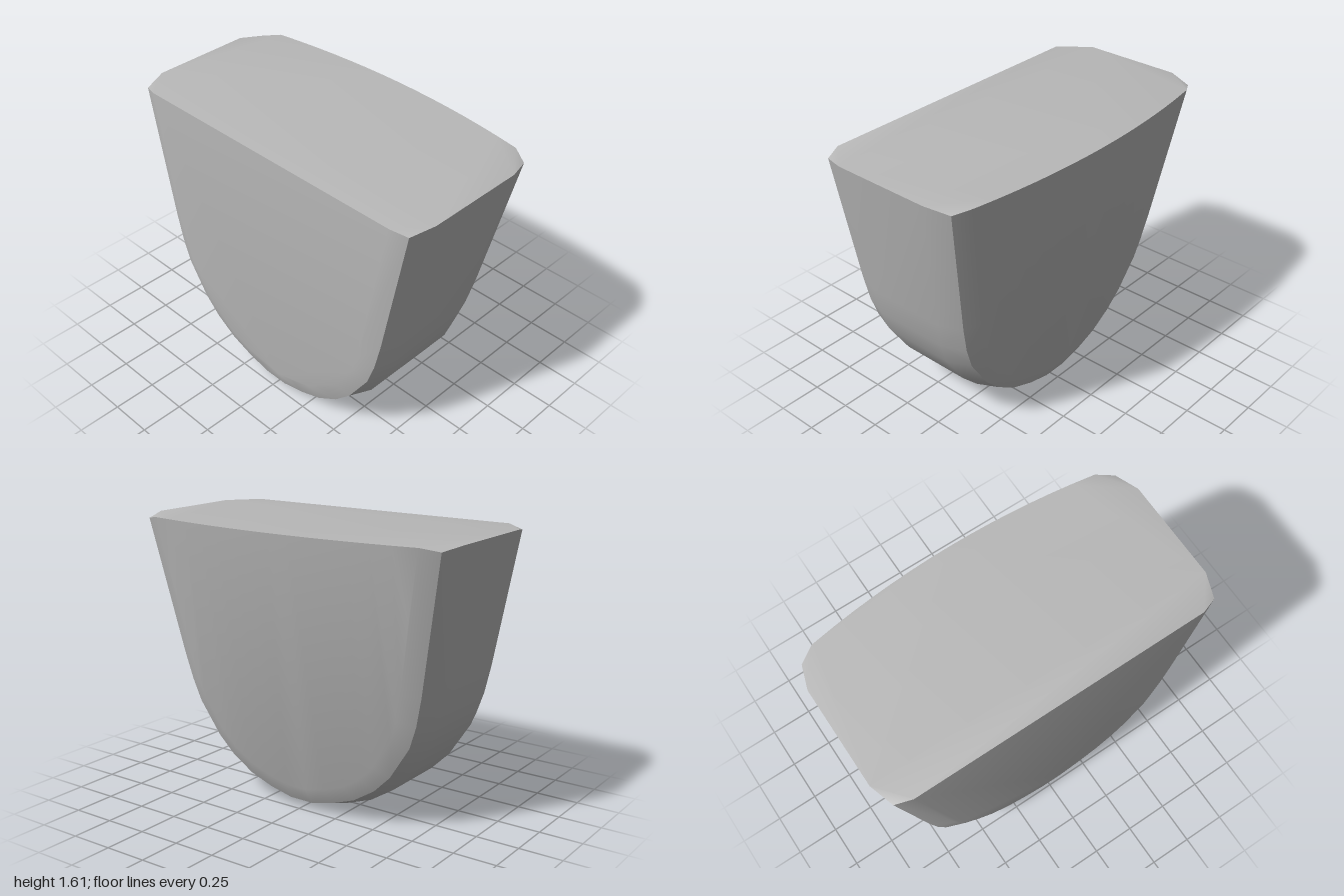
import * as THREE from 'three';
import { ConvexGeometry } from 'three/addons/geometries/ConvexGeometry.js';
import { mergeVertices, toCreasedNormals } from 'three/addons/utils/BufferGeometryUtils.js';

const TOP = 1.61;

// Right half of the U-shaped outline, bottom to top
const outline = [
  [0.08, 0], [0.23, 0.035], [0.38, 0.09], [0.52, 0.18], [0.63, 0.29], [0.76, 0.49],
  [0.81, 0.63], [0.85, 0.8], [0.92, 1.2], [1, TOP],
].map(([x, y]) => new THREE.Vector2(x, y));

// The back leans outwards with height and bulges across its width
const frontZ = () => 0.51;
const backZ = (x, y) => -0.255 - 0.158 * y + 0.1 * x * x;

// Rounded edge: how far each ring is inset, set back from the face, and lowered at the rim
const bevel = [[0.14, 0, 0], [0.045, 0.035, 0.02], [0, 0.17, 0]];

function insetPoint(i, inset) {
  const p = outline[i];
  if (i === outline.length - 1) return new THREE.Vector2(p.x - inset, TOP);
  const before = i ? outline[i - 1] : new THREE.Vector2(-p.x, p.y);
  const t = outline[i + 1].clone().sub(before).normalize();
  return new THREE.Vector2(p.x - t.y * inset, p.y + t.x * inset);
}

export function createModel() {
  const points = [];
  for (const [face, inward] of [[frontZ, -1], [backZ, 1]]) {
    for (const [inset, depth, drop] of bevel) {
      outline.forEach((_, i) => {
        const p = insetPoint(i, inset);
        const y = p.y - (i === outline.length - 1 ? drop : 0);
        const z = face(p.x, y) + inward * depth;
        for (const side of [-1, 1]) points.push(new THREE.Vector3(side * p.x, y, z));
      });
    }
    // Top rim between the rounded corners
    for (let x = -0.72; x < 0.73; x += 0.12) points.push(new THREE.Vector3(x, TOP, face(x, TOP)));
  }

  // Smooth walls, sharp rim
  let geometry = new ConvexGeometry(points);
  geometry.deleteAttribute('normal');
  geometry = toCreasedNormals(mergeVertices(geometry, 1e-4), THREE.MathUtils.degToRad(32));

  const grey = new THREE.MeshStandardMaterial({ color: 0xb8b8b8 });
  grey.name = 'grey';
  const body = new THREE.Mesh(geometry, grey);
  body.name = 'body';

  const model = new THREE.Group();
  model.name = 'roundedBlock';
  model.add(body);
  return model;
}
